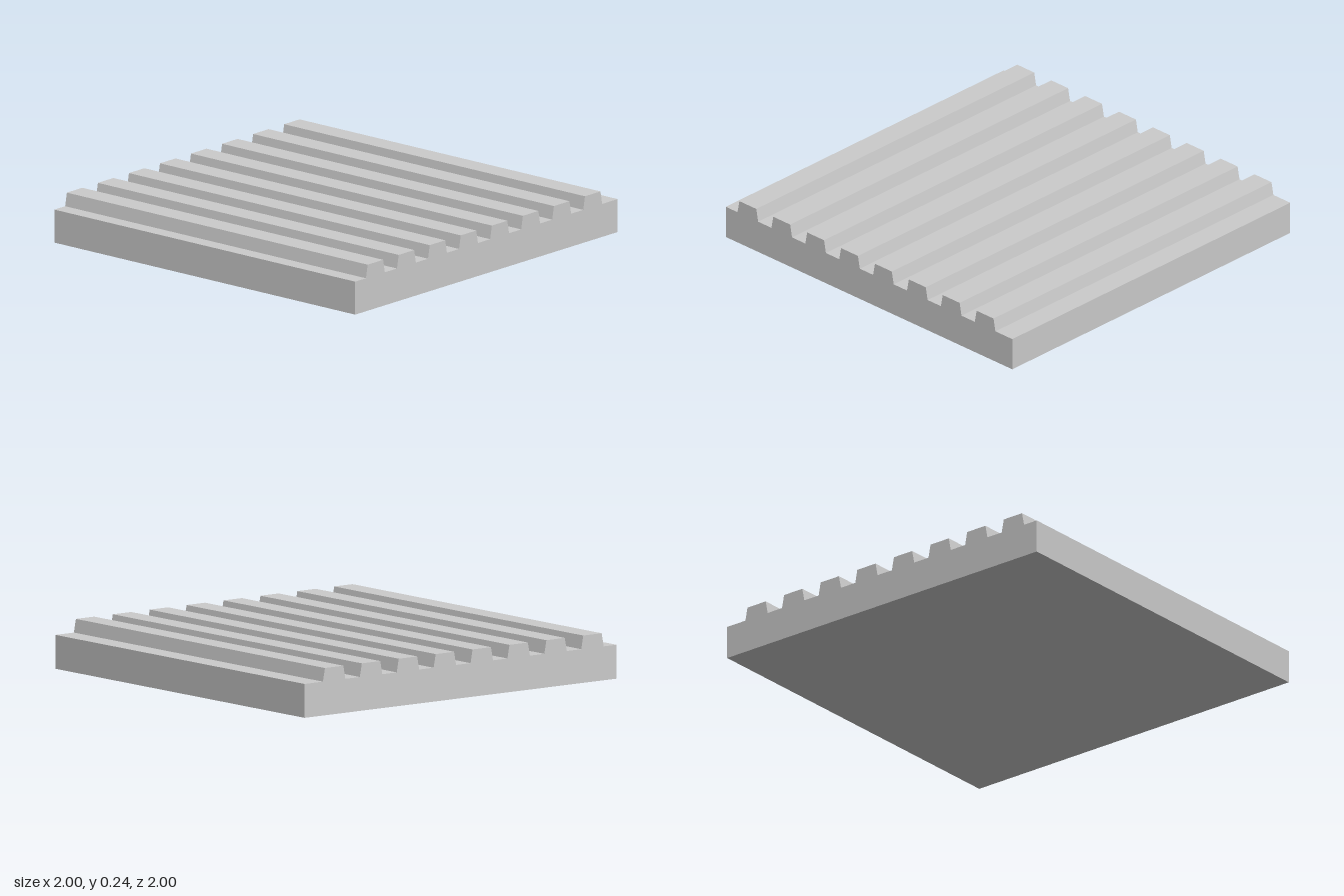
import * as THREE from 'three';

export function createModel() {
  const group = new THREE.Group();
  const baseTop = 0.172, ridgeTop = 0.24;
  const ridgeCount = 8, pitch = 0.2366, firstCenter = -0.846;
  const footHalf = 0.072, crestHalf = 0.059;

  // Cross-section: flat slab with evenly spaced trapezoid ridges, traced counter-clockwise
  const profile = new THREE.Shape();
  profile.moveTo(-1, 0);
  profile.lineTo(1, 0);
  profile.lineTo(1, baseTop);
  for (let i = ridgeCount - 1; i >= 0; i--) {
    const x = firstCenter + i * pitch;
    profile.lineTo(x + footHalf, baseTop);
    profile.lineTo(x + crestHalf, ridgeTop);
    profile.lineTo(x - crestHalf, ridgeTop);
    profile.lineTo(x - footHalf, baseTop);
  }
  profile.lineTo(-1, baseTop);
  profile.closePath();

  // Ridges run the full depth from back to front
  const geometry = new THREE.ExtrudeGeometry(profile, { depth: 2, bevelEnabled: false });
  geometry.translate(0, 0, -1);

  const panel = new THREE.Mesh(
    geometry,
    new THREE.MeshStandardMaterial({ color: 0xcccccc, flatShading: true })
  );
  panel.name = 'ridgedPanel';
  group.add(panel);
  return group;
}
